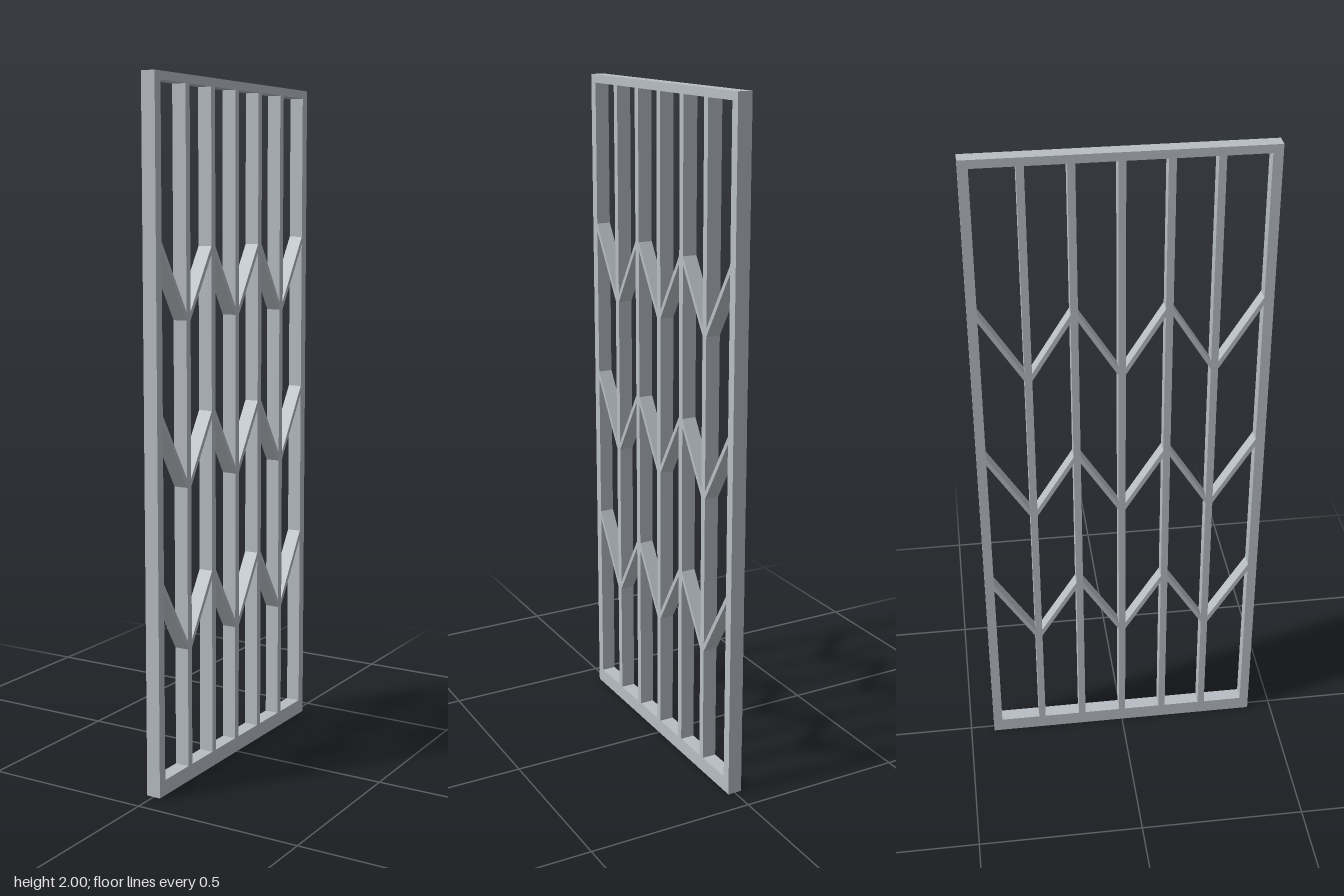
import * as THREE from 'three';

export function createModel() {
  const group = new THREE.Group();
  group.name = 'windowGrille';
  const metal = new THREE.MeshStandardMaterial({ color: 0xb8bec4 });
  metal.name = 'light grey metal';

  const DEPTH = 0.043, HALF = 0.425, STILE = 0.028;
  const INNER = HALF - STILE;
  const BOTTOM = 0.045, TOP = 0.024;
  const BAYS = 6, PITCH = (2 * INNER) / BAYS;

  const add = (name, geometry) => {
    const mesh = new THREE.Mesh(geometry, metal);
    mesh.name = name;
    group.add(mesh);
    return mesh;
  };
  const bar = (name, y0, y1, z, width) =>
    add(name, new THREE.BoxGeometry(DEPTH, y1 - y0, width)).position.set(0, (y0 + y1) / 2, z);

  // Outer frame
  bar('frontStile', 0, 2, HALF - STILE / 2, STILE);
  bar('backStile', 0, 2, -HALF + STILE / 2, STILE);
  bar('bottomRail', 0, BOTTOM, 0, 2 * INNER);
  bar('topRail', 2 - TOP, 2, 0, 2 * INNER);

  // Upright bars between the rails
  for (let i = 1; i < BAYS; i++) bar('uprightBar' + i, BOTTOM, 2 - TOP, -INNER + i * PITCH, 0.021);

  // Zigzag bands: peaks at the stiles and every second bar
  const THICK = 0.024, RISE = 0.212;
  const upper = [];
  for (let i = 0; i <= BAYS; i++) {
    upper.push(new THREE.Vector2(-INNER + i * PITCH, i % 2 ? -RISE : 0));
  }
  const lower = upper.map((p) => new THREE.Vector2(p.x, p.y - THICK)).reverse();
  const zigzag = new THREE.ExtrudeGeometry(new THREE.Shape([...upper, ...lower]), {
    depth: DEPTH, bevelEnabled: false,
  });
  zigzag.translate(0, 0, -DEPTH / 2).rotateY(Math.PI / 2);
  [0.613, 1.083, 1.553].forEach((y, i) => {
    add('zigzagBand' + (i + 1), zigzag).position.y = y;
  });

  return group;
}
